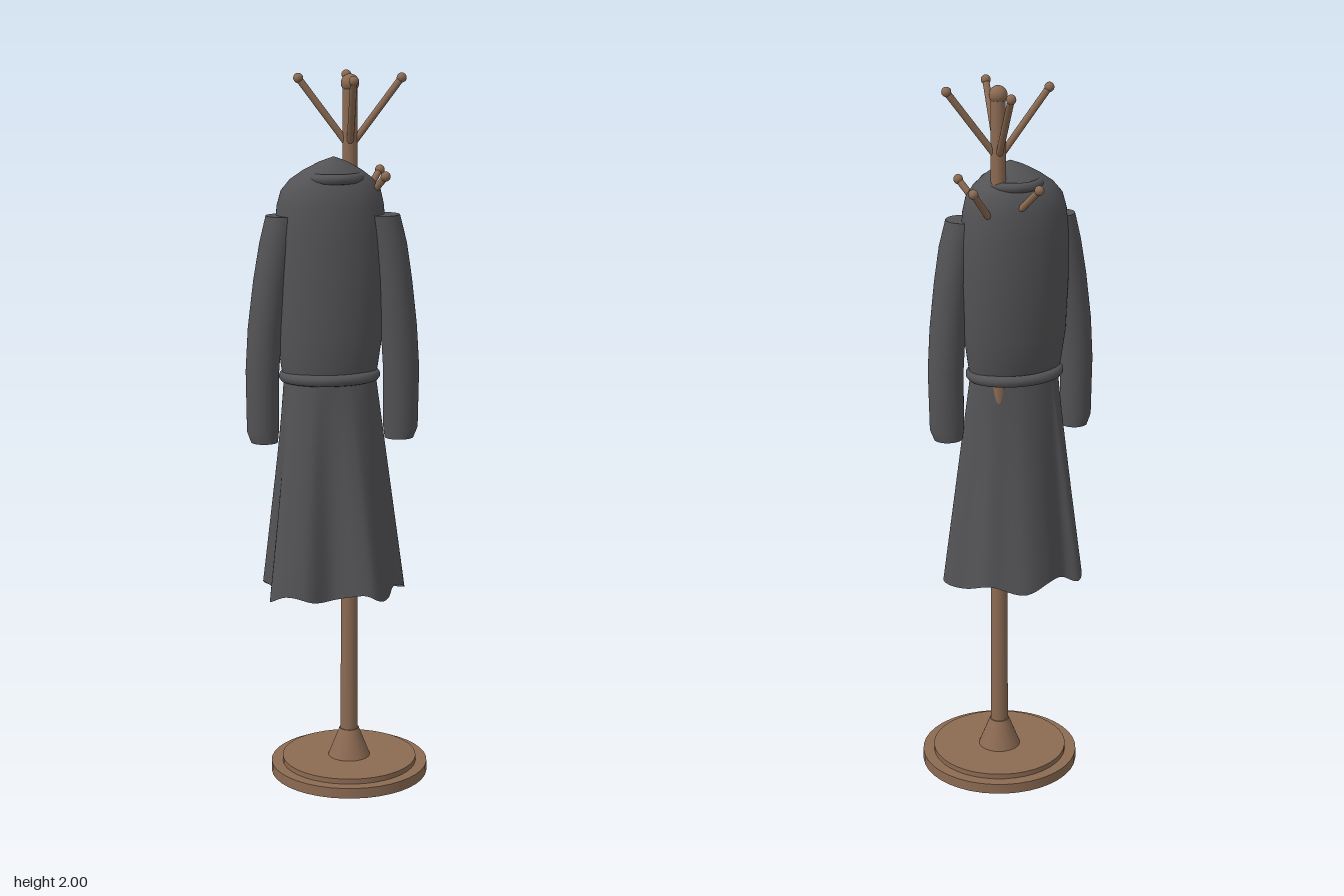
import * as THREE from 'three';
import { mergeGeometries } from 'three/addons/utils/BufferGeometryUtils.js';

const SEG = 64, POLE_X = 0.033;
const V = (x, y, z) => new THREE.Vector3(x, y, z);

// Closed rings of points, listed bottom to top, skinned into one smooth surface
function loft(rings) {
  const n = rings[0].length, pos = [], idx = [];
  rings.forEach(r => r.forEach(p => pos.push(p.x, p.y, p.z)));
  for (let i = 0; i < rings.length - 1; i++) {
    for (let j = 0; j < n; j++) {
      const a = i * n + j, b = i * n + (j + 1) % n, c = a + n, d = b + n;
      idx.push(a, c, b, c, d, b);
    }
  }
  const g = new THREE.BufferGeometry();
  g.setAttribute('position', new THREE.Float32BufferAttribute(pos, 3));
  g.setIndex(idx);
  g.computeVertexNormals();
  return g;
}

// Point on an ellipse turned slightly about the vertical
function ellipsePoint(t, y, cx, cz, rx, rz, turn = 0.13) {
  const a = Math.cos(t) * rx, b = Math.sin(t) * rz;
  return V(cx + a * Math.cos(turn) + b * Math.sin(turn), y, cz - a * Math.sin(turn) + b * Math.cos(turn));
}
const ring = (...e) => Array.from({ length: SEG }, (_, j) => ellipsePoint(j / SEG * Math.PI * 2, ...e));

export function createModel() {
  const group = new THREE.Group();
  const wood = new THREE.MeshStandardMaterial({ color: 0x8b6a52 });
  wood.name = 'wood';
  const cloth = new THREE.MeshStandardMaterial({ color: 0x535356, side: THREE.DoubleSide });
  cloth.name = 'cloth';
  const add = (name, geo, mat, parent = group) => {
    const m = new THREE.Mesh(geo, mat);
    m.name = name;
    parent.add(m);
    return m;
  };

  // Stand: stepped base, collar, pole and finial
  const stand = new THREE.Group();
  stand.name = 'stand';
  stand.position.x = POLE_X;
  group.add(stand);
  const turned = (name, rTop, rBottom, y0, y1, sides = 40) =>
    add(name, new THREE.CylinderGeometry(rTop, rBottom, y1 - y0, sides).translate(0, (y0 + y1) / 2, 0), wood, stand);
  turned('base', 0.225, 0.225, 0, 0.03);
  turned('baseStep', 0.193, 0.193, 0.03, 0.045);
  turned('poleFoot', 0.028, 0.06, 0.045, 0.127);
  turned('pole', 0.02, 0.025, 0.1, 1.96, 24);
  add('finial', new THREE.SphereGeometry(0.025, 20, 14).translate(0, 1.973, 0), wood, stand);

  // Two tiers of four hooks
  function hooks(name, turn, y0, reach, y1) {
    for (let i = 0; i < 4; i++) {
      const a = turn + i * Math.PI / 2;
      const from = V(0, y0, 0), to = V(Math.cos(a) * reach, y1, Math.sin(a) * reach);
      const rod = new THREE.TubeGeometry(new THREE.LineCurve3(from, to), 1, 0.0095, 12);
      const ball = new THREE.SphereGeometry(0.0135, 14, 10).translate(to.x, to.y, to.z);
      add(name, mergeGeometries([rod, ball]), wood, stand);
    }
  }
  hooks('upperHook', 0, 1.8, 0.14, 1.987);
  hooks('lowerHook', Math.PI / 4, 1.6, 0.127, 1.73);

  // Coat body: waist up to the peak where it hangs: y, centre x, centre z, half width, half depth
  const body = [
    [1.17, -0.026, 0.056, 0.127, 0.079], [1.21, -0.026, 0.053, 0.135, 0.092],
    [1.3, -0.025, 0.048, 0.147, 0.103], [1.45, -0.023, 0.043, 0.154, 0.11],
    [1.58, -0.023, 0.042, 0.153, 0.109], [1.65, -0.023, 0.042, 0.147, 0.104],
    [1.69, -0.022, 0.043, 0.137, 0.094], [1.72, -0.02, 0.044, 0.114, 0.081],
    [1.745, -0.018, 0.05, 0.08, 0.061], [1.768, -0.016, 0.057, 0.038, 0.03],
    [1.782, -0.015, 0.06, 0.001, 0.001]];
  add('coatBody', loft(body.map(r => ring(...r))), cloth);

  // Skirt: narrow waist spreading to a hem with soft folds
  const hem = new THREE.CatmullRomCurve3([
    [0.186, 0.05], [0.152, 0.085], [0.132, 0.135], [0.095, 0.183], [0.05, 0.184], [-0.025, 0.162],
    [-0.095, 0.194], [-0.16, 0.172], [-0.198, 0.14], [-0.185, 0.075], [-0.213, 0.005], [-0.198, -0.03],
    [-0.155, -0.03], [-0.095, -0.078], [-0.03, -0.1], [0.04, -0.08], [0.095, -0.062], [0.135, -0.012],
  ].map(([x, z]) => V(x, 0, z)), true);
  const skirt = [];
  for (let i = 0; i <= 10; i++) {
    const k = i / 10, row = [];
    for (let j = 0; j < 96; j++) {
      const p = hem.getPoint(j / 96);
      const out = Math.hypot(p.x + 0.02, p.z - 0.05);
      p.y = 0.57 + 0.012 * Math.sin(j / 96 * Math.PI * 12) - 0.1 * (out - 0.16);
      const t = Math.atan2((p.z - 0.05) / 0.078, (p.x + 0.02) / 0.127) + 0.13;
      row.push(p.lerp(ellipsePoint(t, 1.19, -0.026, 0.058, 0.127, 0.076), k));
    }
    skirt.push(row);
  }
  add('coatSkirt', loft(skirt), cloth);

  // Sleeves hanging with a slight outward bow, closed at both ends
  function sleeve(name, rows) {
    const rings = rows.map(r => ring(...r, 0));
    const centre = r => ring(r[0], r[1], r[2], 0.0001, 0.0001, 0);
    const last = rows.length - 1;
    add(name, mergeGeometries([loft(rings),
      loft([centre(rows[0]), rings[0]]), loft([rings[last], centre(rows[last])])]), cloth);
  }
  sleeve('leftSleeve', [
    [1.0, 0.168, 0.043, 0.04, 0.036], [1.03, 0.172, 0.043, 0.048, 0.038], [1.2, 0.172, 0.05, 0.05, 0.043],
    [1.32, 0.164, 0.056, 0.05, 0.048], [1.45, 0.15, 0.06, 0.049, 0.05], [1.55, 0.135, 0.061, 0.049, 0.05],
    [1.625, 0.118, 0.061, 0.047, 0.048]]);
  sleeve('rightSleeve', [
    [1.0, -0.208, 0.08, 0.037, 0.036], [1.03, -0.212, 0.08, 0.044, 0.039], [1.2, -0.212, 0.078, 0.046, 0.043],
    [1.32, -0.204, 0.076, 0.047, 0.046], [1.45, -0.187, 0.074, 0.048, 0.047], [1.55, -0.17, 0.072, 0.048, 0.047],
    [1.625, -0.154, 0.07, 0.046, 0.045]]);

  // Belt and half-buried neck roll
  function band(name, tube, ...e) {
    const path = new THREE.CatmullRomCurve3(ring(...e).filter((_, j) => j % 4 === 0), true);
    return add(name, new THREE.TubeGeometry(path, 64, tube, 10, true), cloth);
  }
  band('belt', 0.016, 1.182, -0.026, 0.053, 0.125, 0.092);
  band('collar', 0.014, 1.726, -0.016, 0.046, 0.075, 0.08);

  return group;
}
